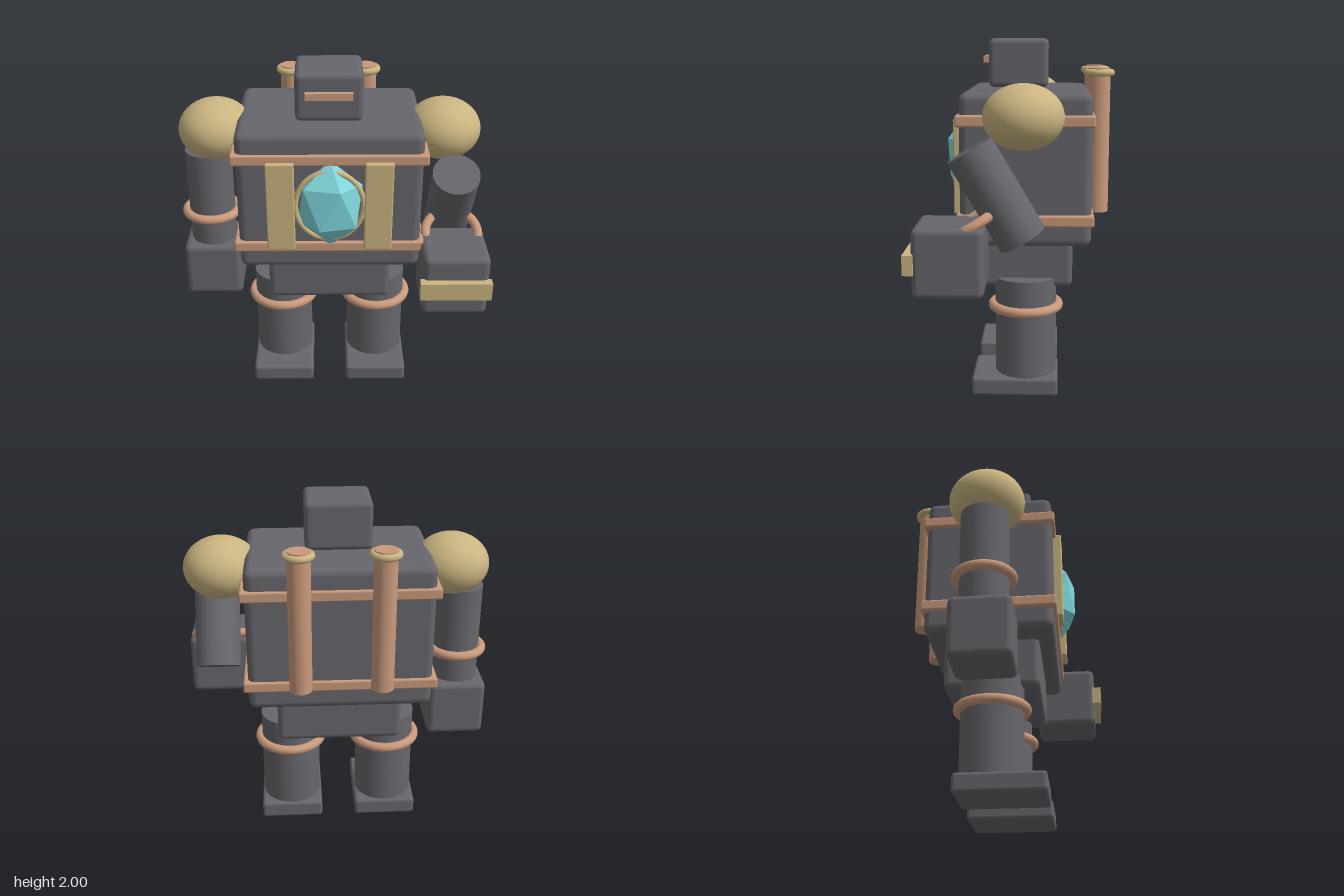
import * as THREE from 'three';
import { RoundedBoxGeometry } from 'three/addons/geometries/RoundedBoxGeometry.js';
import { ConvexGeometry } from 'three/addons/geometries/ConvexGeometry.js';

const material = (name, color) => {
  const m = new THREE.MeshStandardMaterial({ color });
  m.name = name;
  return m;
};

export function createModel() {
  const iron = material('dark iron', 0x67666c);
  const copper = material('copper', 0xc99a7c);
  const brass = material('brass', 0xcab581);
  const crystal = material('crystal', 0x7fd8de);

  const root = new THREE.Group();
  root.name = 'robot';

  const add = (name, geometry, mat, x, y, z) => {
    const mesh = new THREE.Mesh(geometry, mat);
    mesh.name = name;
    mesh.position.set(x, y, z);
    root.add(mesh);
    return mesh;
  };
  const block = (w, h, d, r) => new RoundedBoxGeometry(w, h, d, 2, r);
  const rod = (r, h) => new THREE.CylinderGeometry(r, r, h, 32);
  // Ring lying flat around the y axis
  const ring = (r, tube) => new THREE.TorusGeometry(r, tube, 12, 40).rotateX(Math.PI / 2);

  const zBody = -0.057;

  // Head with a single eye slit
  add('head', block(0.37, 0.27, 0.335, 0.03), iron, -0.01, 1.865, -0.01);
  add('eyeSlit', new THREE.BoxGeometry(0.26, 0.037, 0.06), copper, -0.01, 1.885, 0.16);

  // Torso, hips and the bands around the torso
  add('torso', block(1.025, 0.835, 0.715, 0.045), iron, -0.008, 1.303, -0.06);
  add('hips', block(0.715, 0.33, 0.53, 0.035), iron, -0.008, 0.78, zBody);
  for (const y of [1.572, 1.035]) {
    add('torsoBand', block(1.075, 0.063, 0.748, 0.012), copper, -0.008, y, -0.058);
  }

  // Chest plates either side of the crystal
  for (const s of [-1, 1]) {
    add('chestPlate', block(0.155, 0.53, 0.07, 0.008), brass, -0.008 + s * 0.27, 1.3, 0.31);
  }

  // Faceted crystal: two poles and two staggered rings of five
  const points = [new THREE.Vector3(0, 1, 0), new THREE.Vector3(0, -1, 0)];
  for (let i = 0; i < 5; i++) {
    for (const s of [-1, 1]) {
      const a = s * Math.PI * (0.1 + 0.4 * i);
      points.push(new THREE.Vector3(0.894 * Math.sin(a), s * 0.447, 0.894 * Math.cos(a)));
    }
  }
  add('chestCrystal', new ConvexGeometry(points).scale(0.2, 0.265, 0.127), crystal, -0.006, 1.305, 0.3);
  add('crystalRing', new THREE.TorusGeometry(0.2, 0.016, 12, 48).scale(0.94, 1.03, 1), brass, -0.008, 1.303, 0.318);

  // Exhaust pipes on the back
  for (const s of [-1, 1]) {
    const x = -0.011 + s * 0.224;
    add('exhaustPipe', rod(0.063, 0.805), copper, x, 1.438, -0.459);
    add('pipeRim', ring(0.067, 0.02), brass, x, 1.815, -0.459);
  }

  // Legs, ankle rings and feet
  for (const s of [-1, 1]) {
    const x = -0.008 + s * 0.287;
    add('leg', rod(0.175, 0.58), iron, x, 0.38, zBody);
    add('legRing', ring(0.187, 0.028), copper, x, 0.497, zBody);
    add('foot', block(0.37, 0.106, 0.49, 0.02), iron, x, 0.053, 0);
  }

  // Shoulders
  for (const s of [-1, 1]) {
    const shoulder = new THREE.SphereGeometry(1, 40, 24).scale(0.212, 0.173, 0.212);
    add('shoulder', shoulder, brass, -0.006 + s * 0.645, 1.607, -0.054);
  }

  // Right arm hangs straight
  add('rightArm', rod(0.134, 0.6), iron, -0.707, 1.18, zBody);
  add('rightWristRing', ring(0.151, 0.027), copper, -0.707, 1.085, zBody);
  add('rightHand', block(0.335, 0.338, 0.333, 0.035), iron, -0.706, 0.74, -0.06);

  // Left arm tilts, with its fist held forward
  const tilt = 0.53;
  add('leftArm', rod(0.132, 0.54), iron, 0.693, 1.213, 0.084).rotation.x = tilt;
  add('leftWristRing', ring(0.151, 0.027), copper, 0.693, 1.065, 0.21).rotation.x = tilt;
  add('leftHand', block(0.37, 0.37, 0.37, 0.035), iron, 0.693, 0.885, 0.323);
  add('knucklePlate', new THREE.BoxGeometry(0.395, 0.106, 0.055), brass, 0.691, 0.883, 0.522);

  return root;
}
